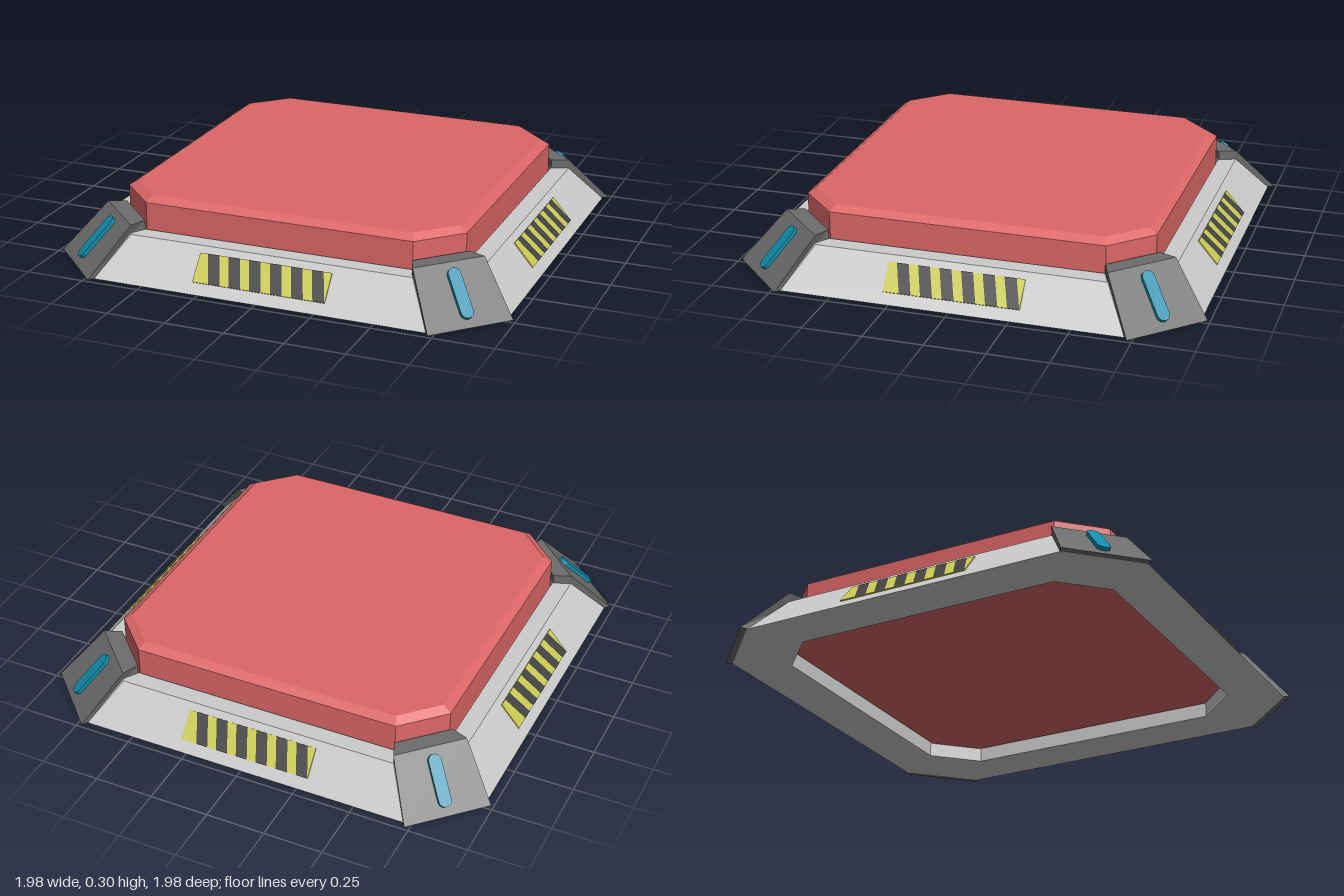
import * as THREE from 'three';

const mat = (color) => new THREE.MeshStandardMaterial({ color, flatShading: true });
const GREY = mat(0xcccccc);
const DARK = mat(0x6c6c6c);
const RED = mat(0xdc6767);
const BLUE = mat(0x118caa);
const YELLOW = mat(0xcccc55);
const BLACK = mat(0x444444);

// Joins rings of [x, y, z] points; each ring runs counter-clockwise seen from above.
function loft(rings, closedProfile = false) {
  const pos = [];
  const n = rings[0].length;
  const tri = (a, b, c) => pos.push(...a, ...b, ...c);
  const steps = closedProfile ? rings.length : rings.length - 1;
  for (let r = 0; r < steps; r++) {
    const lo = rings[r];
    const hi = rings[(r + 1) % rings.length];
    for (let i = 0; i < n; i++) {
      const j = (i + 1) % n;
      tri(lo[i], lo[j], hi[j]);
      tri(lo[i], hi[j], hi[i]);
    }
  }
  if (!closedProfile) {
    const bottom = rings[0];
    const top = rings[rings.length - 1];
    for (let i = 1; i < n - 1; i++) {
      tri(bottom[0], bottom[i + 1], bottom[i]);
      tri(top[0], top[i], top[i + 1]);
    }
  }
  const geo = new THREE.BufferGeometry();
  geo.setAttribute('position', new THREE.Float32BufferAttribute(pos, 3));
  geo.computeVertexNormals();
  return geo;
}

// Square with cut corners: half width a, corners at (a, c).
const octagon = (a, c, y) => [
  [-c, y, a], [c, y, a], [a, y, c], [a, y, -c],
  [c, y, -a], [-c, y, -a], [-a, y, -c], [-a, y, c],
];

function add(parent, name, geo, material) {
  const mesh = new THREE.Mesh(geo, material);
  mesh.name = name;
  parent.add(mesh);
  return mesh;
}

// Striped warning plate, lying in its local xy plane
function warningPlate() {
  const plate = new THREE.Group();
  plate.name = 'warningPlate';
  const h = 0.0625;
  add(plate, 'plate', new THREE.BoxGeometry(0.57, 2 * h, 0.008), YELLOW);
  for (let i = 0; i < 6; i++) {
    const x = -0.25 + i * 0.09;
    const shape = new THREE.Shape([
      new THREE.Vector2(x, h), new THREE.Vector2(x + 0.035, -h),
      new THREE.Vector2(x + 0.085, -h), new THREE.Vector2(x + 0.05, h),
    ]);
    const stripe = add(plate, 'stripe', new THREE.ShapeGeometry(shape), BLACK);
    stripe.position.z = 0.0055;
  }
  return plate;
}

// Corner bracket, pointing along +z
function cornerBracket() {
  const bracket = new THREE.Group();
  bracket.name = 'cornerBracket';
  const quad = (y, outW, outZ, inW, inZ) => [
    [-outW, y, outZ], [outW, y, outZ], [inW, y, inZ], [-inW, y, inZ],
  ];
  add(bracket, 'bracketBody', loft([
    quad(0.002, 0.184, 1.216, 0.125, 0.947),
    quad(0.2, 0.156, 1.018, 0.125, 0.947),
  ]), DARK);

  // Rounded light bar on the sloping face
  const r = 0.027;
  const half = 0.08;
  const shape = new THREE.Shape();
  shape.absarc(0, half, r, 0, Math.PI, false);
  shape.absarc(0, -half, r, Math.PI, 2 * Math.PI, false);
  const geo = new THREE.ExtrudeGeometry(shape, { depth: 0.02, bevelEnabled: false, curveSegments: 8 });
  const light = add(bracket, 'lightBar', geo, BLUE);
  light.position.set(0, 0.1, 1.112);
  light.rotation.x = -Math.atan2(0.198, 0.198);
  return bracket;
}

export function createModel() {
  const model = new THREE.Group();
  model.name = 'floorPad';

  // Sloping frame around an open middle
  add(model, 'frame', loft([
    octagon(0.965, 0.715, 0),
    octagon(0.83, 0.61, 0.16),
    octagon(0.755, 0.58, 0.16),
    octagon(0.755, 0.58, 0),
  ], true), GREY);

  // Raised pad with a bevelled rim
  add(model, 'pad', loft([
    octagon(0.745, 0.58, 0.06),
    octagon(0.745, 0.58, 0.273),
    octagon(0.71, 0.566, 0.296),
  ]), RED);

  // One warning plate per side, one bracket per corner
  for (let k = 0; k < 4; k++) {
    const side = new THREE.Group();
    side.name = 'side';
    side.rotation.y = (k * Math.PI) / 2;
    const plate = warningPlate();
    plate.position.set(0, 0.088, 0.892);
    plate.rotation.x = -Math.atan2(0.135, 0.16);
    side.add(plate);
    model.add(side);

    const bracket = cornerBracket();
    bracket.rotation.y = Math.PI / 4 + (k * Math.PI) / 2;
    model.add(bracket);
  }
  return model;
}
